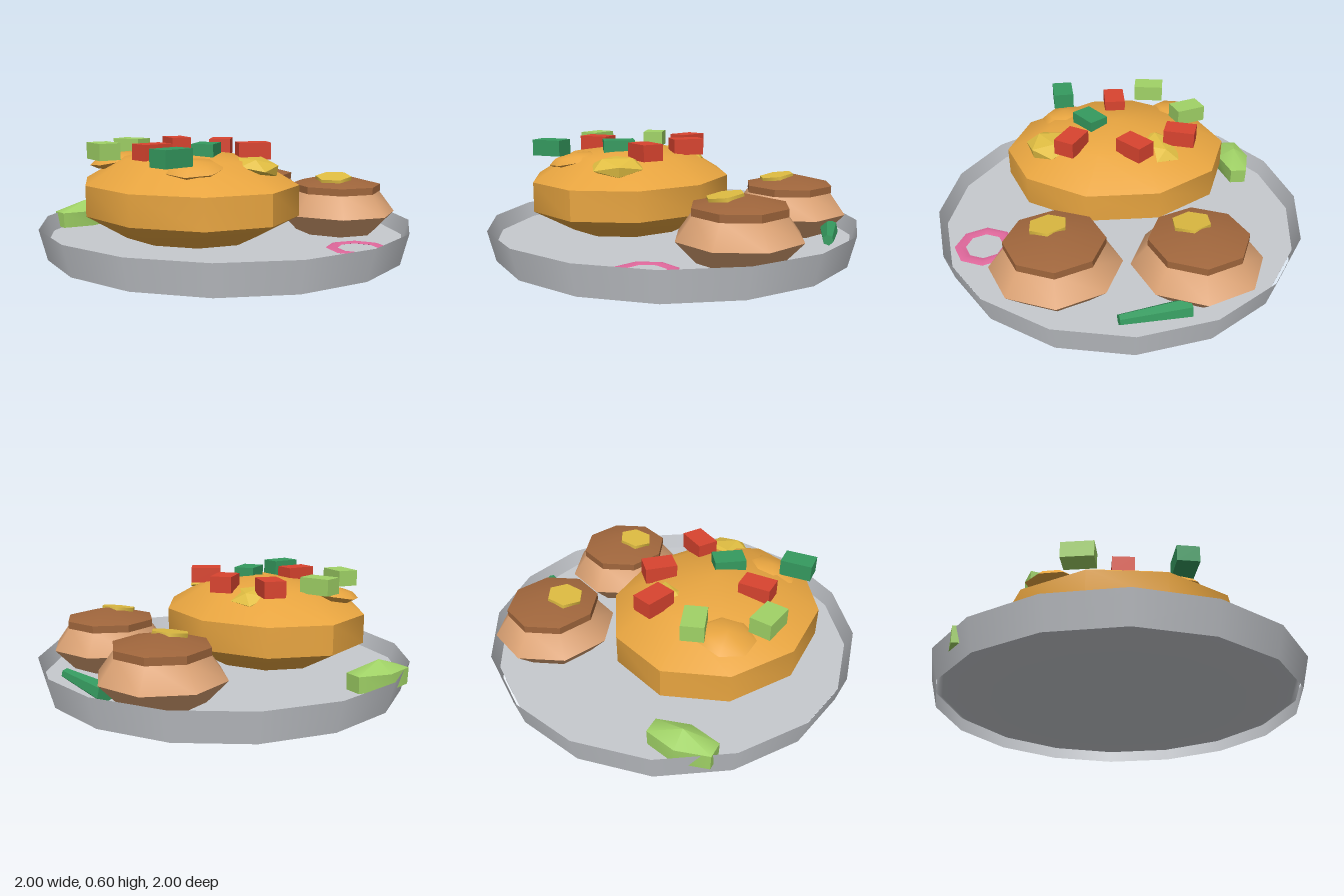
import * as THREE from 'three';
import { toCreasedNormals } from 'three/addons/utils/BufferGeometryUtils.js';

const mat = (name, color, side = THREE.FrontSide) => {
  const m = new THREE.MeshStandardMaterial({ color, side });
  m.name = name;
  return m;
};
const crease = geo => toCreasedNormals(geo, 0.69);
const lathe = (pts, sides) =>
  new THREE.LatheGeometry(pts.map(p => new THREE.Vector2(p[0], p[1])), sides);

export function createModel() {
  const model = new THREE.Group();
  model.name = 'platter';
  const grey = mat('plate grey', 0xc6c9ce, THREE.DoubleSide);
  const orange = mat('golden crust', 0xe8a540);
  const tan = mat('bun tan', 0xdba274);
  const brown = mat('bun top brown', 0xa0663c);
  const yellow = mat('butter yellow', 0xe0bd42);
  const red = mat('tomato red', 0xd9442f);
  const green = mat('pepper green', 0x359a5f);
  const lime = mat('lime green', 0xa0d266);
  const pink = mat('onion pink', 0xe0689c);

  const add = (name, geo, material, x = 0, y = 0, z = 0, parent = model) => {
    const mesh = new THREE.Mesh(geo, material);
    mesh.name = name;
    mesh.position.set(x, y, z);
    parent.add(mesh);
    return mesh;
  };

  // Plate: thin flared wall, flat floor and a shallow rounded underside
  add('plateWall', new THREE.CylinderGeometry(1, 0.96, 0.16, 16, 1, true), grey, 0, 0.08, 0);
  add('plateFloor', new THREE.CircleGeometry(0.965, 16).rotateX(-Math.PI / 2), grey, 0, 0.078, 0);
  add('plateUnderside', new THREE.SphereGeometry(1, 16, 6, 0, Math.PI * 2, Math.PI / 2, Math.PI / 2)
    .scale(0.965, 0.075, 0.965), grey, 0, 0.077, 0);

  // Large oval loaf
  add('loaf', crease(new THREE.SphereGeometry(1, 10, 5).rotateY(Math.PI / 2).scale(0.553, 0.25, 0.647)),
    orange, -0.26, 0.3125, 0);

  // Crust lumps and butter pieces half sunk into the loaf
  const lump = (name, geo, material, [x, y, z], [turn, tiltX, tiltZ]) =>
    add(name, geo, material, x, y, z).rotation.set(tiltX, turn, tiltZ);
  const crust = crease(new THREE.SphereGeometry(1, 7, 4).scale(0.145, 0.04, 0.135));
  const butter = new THREE.IcosahedronGeometry(1, 0).scale(0.145, 0.05, 0.12);
  lump('crustLump', crust, orange, [-0.475, 0.488, -0.355], [0.4, -0.15, 0.17]);
  lump('crustLump', crust, orange, [-0.45, 0.488, 0.285], [-0.3, 0.15, 0.15]);
  lump('butterPiece', butter, yellow, [-0.06, 0.488, -0.22], [0.3, -0.1, -0.12]);
  lump('butterPiece', butter, yellow, [-0.13, 0.485, 0.38], [0.6, 0.2, -0.1]);

  // Diced toppings: colour, x, z, direction of the long side (dx, dz)
  const dice = [
    [red, -0.075, -0.335, -0.05, 0.16],
    [red, 0.037, -0.077, -0.11, 0.1],
    [red, -0.485, -0.005, 1, 0],
    [red, -0.038, 0.253, 0.13, 0.08],
    [green, -0.26, 0.145, -0.14, 0.1],
    [green, -0.594, 0.294, 1, -0.06],
    [lime, -0.332, -0.41, 0.055, 0.155],
    [lime, -0.63, -0.225, -0.025, 0.17],
  ];
  for (const [m, x, z, dx, dz] of dice) {
    add('dicedTopping', new THREE.BoxGeometry(0.165, 0.085, 0.113), m, x, 0.553, z)
      .rotation.y = Math.atan2(-dz, dx);
  }

  // Two small buns with a brown cap and a slice of butter leaning on its slope
  for (const [x, z] of [[0.547, -0.345], [0.518, 0.353]]) {
    const bun = new THREE.Group();
    bun.name = 'bun';
    bun.position.set(x, 0, z);
    bun.scale.x = 0.96;
    model.add(bun);
    add('bunBody', crease(lathe([[0, 0.07], [0.215, 0.07], [0.332, 0.19], [0.24, 0.31], [0, 0.33]], 8)),
      tan, 0, 0, 0, bun);
    add('bunCap', crease(lathe([[0, 0.304], [0.25, 0.304], [0.25, 0.342], [0, 0.401]], 8)),
      brown, 0, 0, 0, bun);
    add('butterSlice', new THREE.CylinderGeometry(0.1, 0.1, 0.024, 6).rotateY(Math.PI / 6),
      yellow, -0.064, 0.379, 0.03, bun).rotation.set(0.065, 0, 0.135);
  }

  // Lime wedge resting on the rim, poking out over the wall
  add('limeWedge', crease(lathe([[0, 0.08], [0.98, 0.08], [1, 0.165], [0, 0.221]], 6).scale(0.192, 1, 0.09)),
    lime, -0.447, 0, -0.743);

  // Pepper lying along the right of the plate, thin end forward
  const from = new THREE.Vector3(0.875, 0.145, 0.07);
  const to = new THREE.Vector3(0.8, 0.125, -0.27);
  const dir = to.clone().sub(from);
  const pepper = add('pepper', crease(new THREE.CylinderGeometry(0.05, 0.027, dir.length(), 6)), green);
  pepper.position.copy(from).add(to).multiplyScalar(0.5);
  pepper.quaternion.setFromUnitVectors(new THREE.Vector3(0, 1, 0), dir.normalize());

  // Thin flat onion ring
  const ring = new THREE.TorusGeometry(0.13, 0.03, 4, 8).rotateX(Math.PI / 2).scale(1, 0.25, 1);
  add('onionRing', crease(ring), pink, 0.222, 0.084, 0.738);

  return model;
}
